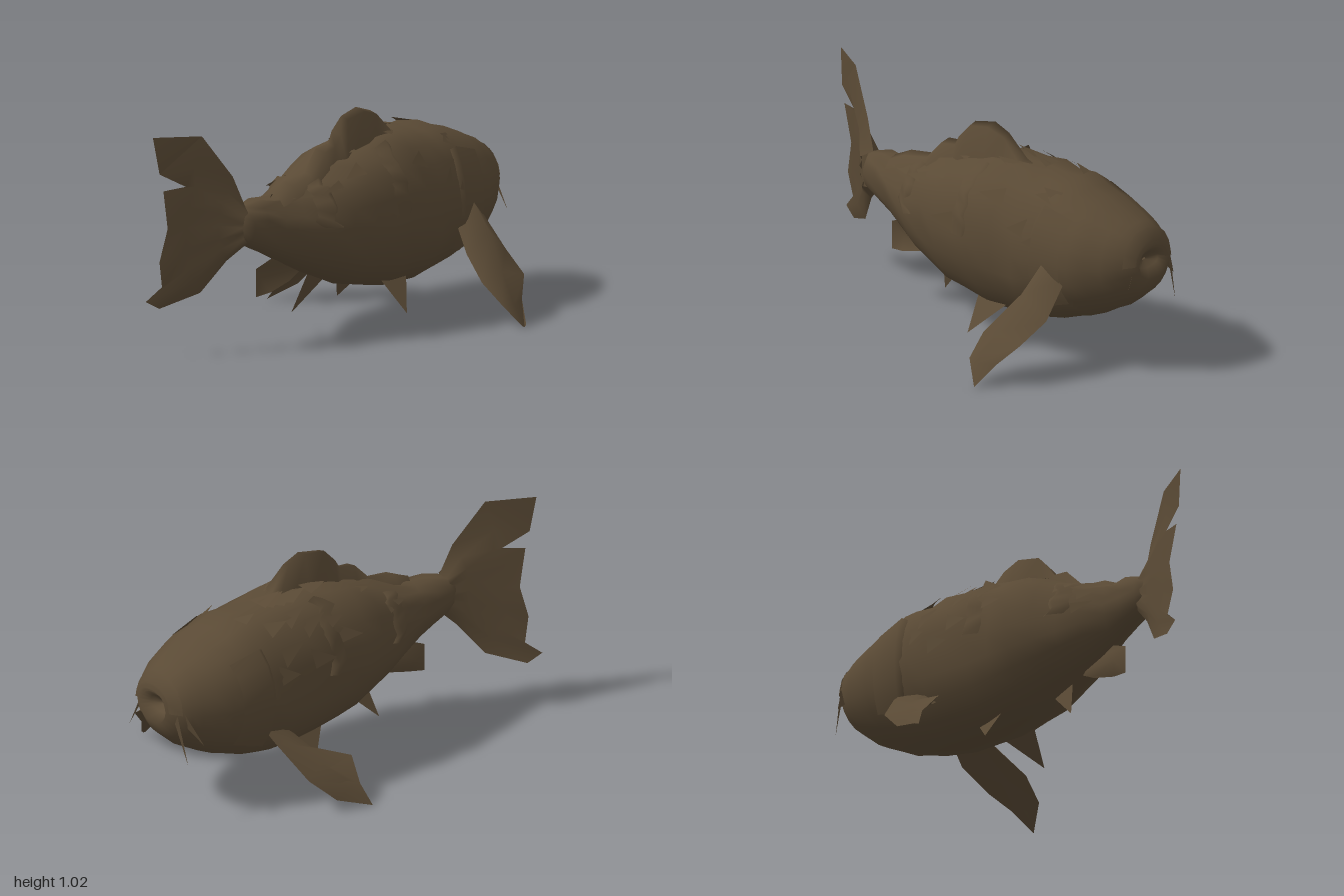
import * as THREE from 'three';

const scaleBrown = new THREE.MeshStandardMaterial({ color: 0x5a4a35, side: THREE.DoubleSide });
scaleBrown.name = 'scaleBrown';

// Seeded random numbers in the range -1 to 1
let seed = 7;
const rnd = () => {
  seed = (seed * 16807) % 2147483647;
  return (seed / 2147483647) * 2 - 1;
};

// Body sections from tail to snout, then back into the mouth: x, z, bottom, top, half width
const SECTIONS = [
  [-0.61, 0.42, 0.55, 0.65, 0.02],
  [-0.55, 0.42, 0.50, 0.68, 0.075],
  [-0.4, 0.355, 0.42, 0.70, 0.1],
  [-0.2, 0.27, 0.31, 0.75, 0.2],
  [0, 0.17, 0.215, 0.83, 0.268],
  [0.2, 0.07, 0.165, 0.87, 0.285],
  [0.4, -0.05, 0.155, 0.86, 0.29],
  [0.55, -0.13, 0.185, 0.84, 0.285],
  [0.7, -0.2, 0.24, 0.79, 0.275],
  [0.82, -0.27, 0.31, 0.73, 0.215],
  [0.89, -0.315, 0.38, 0.685, 0.16],
  [0.935, -0.335, 0.46, 0.62, 0.1],
  [0.89, -0.32, 0.5, 0.57, 0.07],
  [0.87, -0.31, 0.53, 0.54, 0.01],
];

// Point on the body: u counts sections, a is the angle around, off stands clear of the skin
function skin(u, a, off = 0) {
  const i = Math.min(Math.floor(u), SECTIONS.length - 2);
  const [x, z, lo, hi, w] = SECTIONS[i].map((v, k) => THREE.MathUtils.lerp(v, SECTIONS[i + 1][k], u - i));
  const c = Math.cos(a);
  const side = Math.sign(c) * Math.abs(c) ** 0.87 * w + c * off;
  const y = (lo + hi) / 2 + Math.sin(a) * ((hi - lo) / 2 + off);
  return [x + side * 0.45, y, z + side * 0.89];
}

// Surface through rows of points
function loft(rows, closed = false) {
  const n = rows[0].length;
  const index = [];
  for (let i = 0; i < rows.length - 1; i++) {
    for (let j = 0; j < (closed ? n : n - 1); j++) {
      const k = (j + 1) % n;
      const a = i * n + j, b = i * n + k, c = a + n, d = b + n;
      index.push(a, c, b, b, c, d);
    }
  }
  const g = new THREE.BufferGeometry();
  g.setAttribute('position', new THREE.Float32BufferAttribute(rows.flat(2), 3));
  g.setIndex(index);
  g.computeVertexNormals();
  return g;
}

export function createModel() {
  const fish = new THREE.Group();
  fish.name = 'fish';
  const add = (name, geometry) => {
    const mesh = new THREE.Mesh(geometry, scaleBrown);
    mesh.name = name;
    fish.add(mesh);
  };
  const tri = (name, ...p) => {
    const g = new THREE.BufferGeometry();
    g.setAttribute('position', new THREE.Float32BufferAttribute(p.flat(), 3));
    g.computeVertexNormals();
    add(name, g);
  };

  // Body with a lumpy back
  const SEG = 20;
  const rings = [];
  for (let u = 0; u <= 13; u += u < 10 ? 0.5 : 1) {
    const ring = [];
    for (let j = 0; j < SEG; j++) {
      const a = (j / SEG) * Math.PI * 2;
      const rough = u > 1 && u < 7.5 && Math.sin(a) > -0.3 ? 0.016 : 0.002;
      ring.push(skin(u, a, rnd() * rough));
    }
    rings.push(ring);
  }
  add('body', loft(rings, true));

  // Forked tail fin with pleats
  const tailRows = [
    [[-0.54, 0.5], [-0.55, 0.52], [-0.56, 0.54], [-0.57, 0.57], [-0.57, 0.59], [-0.57, 0.61], [-0.56, 0.64], [-0.55, 0.66], [-0.54, 0.68]],
    [[-0.62, 0.43], [-0.64, 0.46], [-0.66, 0.49], [-0.67, 0.54], [-0.67, 0.6], [-0.67, 0.66], [-0.66, 0.71], [-0.64, 0.76], [-0.6, 0.82]],
    [[-0.74, 0.29], [-0.78, 0.35], [-0.8, 0.41], [-0.82, 0.5], [-0.82, 0.6], [-0.82, 0.7], [-0.78, 0.79], [-0.79, 0.88], [-0.75, 1.02]],
    [[-0.93, 0.23], [-1, 0.27], [-0.92, 0.33], [-0.94, 0.45], [-0.9, 0.6], [-0.93, 0.78], [-0.82, 0.79], [-0.95, 0.86], [-0.98, 1.03]],
  ];
  for (const s of [-1, 1]) {
    add('tailFin', loft(tailRows.map((row, i) => row.map(([x, y], j) => {
      const edge = j === 0 || j === 8 || i === 3;
      const thick = edge ? 0 : s * [0.05, 0.02, 0.01][i];
      return [x, y, 0.425 + (x + 0.6) * 0.09 + (y - 0.65) * 0.06 + thick + (j % 2 ? 0.008 : -0.005)];
    }))));
  }

  // Dorsal fin: a ridge of uneven peaks along the spine
  const ridge = [[-0.38, 0.71], [-0.3, 0.75], [-0.18, 0.77], [-0.1, 0.86], [-0.03, 0.87], [0, 0.92], [0.05, 0.98], [0.15, 1], [0.23, 0.97], [0.32, 0.87], [0.38, 0.85]];
  add('dorsalFin', loft([-1, -0.4, 0.4, 1].map((s) => ridge.map(([x, y], j) => {
    const w = s * (0.05 + (j % 2) * 0.02);
    const low = Math.abs(s) === 1;
    const cx = x + w * 0.45;
    return [cx, low ? Math.min(y, 0.8 + x * 0.2) - 0.05 : y - (s > 0 ? 0.012 : 0), 0.21 - x * 0.5 + w * 0.89];
  }))));

  // Pectoral fins: rows run from shoulder to tip
  const pectorals = {
    leftPectoralFin: [
      [[0.62, 0.46, 0.09], [0.7, 0.53, 0.07], [0.78, 0.45, 0.03]],
      [[0.63, 0.3, 0.22], [0.74, 0.38, 0.21], [0.85, 0.29, 0.15]],
      [[0.64, 0.2, 0.37], [0.75, 0.22, 0.33], [0.88, 0.2, 0.29]],
      [[0.7, 0.11, 0.46], [0.76, 0.09, 0.44], [0.83, 0.11, 0.38]],
      [[0.79, 0.01, 0.475], [0.8, 0.005, 0.478], [0.81, 0.015, 0.475]],
    ],
    rightPectoralFin: [
      [[0.28, 0.3, -0.22], [0.36, 0.37, -0.28], [0.43, 0.38, -0.33]],
      [[0.2, 0.24, -0.29], [0.29, 0.27, -0.36], [0.38, 0.32, -0.39]],
      [[0.02, 0.2, -0.33], [0.17, 0.19, -0.41], [0.25, 0.17, -0.495]],
      [[0, 0.1, -0.42], [0.06, 0.11, -0.44], [0.12, 0.06, -0.49]],
      [[-0.05, 0.005, -0.46], [-0.04, 0.01, -0.465], [-0.03, 0.015, -0.47]],
    ],
  };
  for (const [name, rows] of Object.entries(pectorals)) {
    for (const t of [-0.015, 0.015]) {
      add(name, loft(rows.map((r, i) => r.map(([x, y, z], j) => (j === 1 && i < 4 ? [x, y + t, z + t] : [x, y, z])))));
    }
  }

  // Pelvic, vent and anal fins
  tri('leftPelvicFin', [0.2, 0.24, 0.21], [0.37, 0.22, 0.14], [0.3, 0.08, 0.31]);
  tri('rightPelvicFin', [0.08, 0.23, 0.02], [0.24, 0.2, -0.04], [0.12, 0.095, -0.06]);
  tri('ventFin', [-0.15, 0.31, 0.25], [-0.06, 0.25, 0.2], [-0.22, 0.11, 0.21]);
  add('analFin', loft([
    [[-0.34, 0.42, 0.34], [-0.27, 0.38, 0.31], [-0.18, 0.33, 0.26]],
    [[-0.46, 0.37, 0.37], [-0.42, 0.31, 0.33], [-0.27, 0.28, 0.3]],
    [[-0.46, 0.24, 0.37], [-0.38, 0.25, 0.35], [-0.29, 0.28, 0.3]],
  ]));

  // Gill covers and upper lip
  for (const s of [0, 1]) {
    const rows = [];
    for (let i = 0; i <= 6; i++) {
      const t = -0.7 + i * 0.25;
      const a = s ? Math.PI - t : t;
      const back = 7.3 - Math.cos(t) * 0.5;
      rows.push([skin(back - 0.15, a, 0), skin(back, a, 0.02), skin(back + 0.9, a, 0.003)]);
    }
    add(s ? 'rightGillCover' : 'leftGillCover', loft(rows));
  }
  const lip = [];
  for (let i = 0; i <= 8; i++) {
    const a = (i / 8) * Math.PI;
    lip.push([skin(10, a, 0.003), skin(10.85, a, 0.015), skin(11.3, a, -0.005)]);
  }
  add('upperLip', loft(lip));

  // Barbels
  tri('leftBarbel', [0.95, 0.59, -0.25], [0.96, 0.5, -0.22], [1, 0.38, -0.17]);
  tri('rightBarbel', [0.82, 0.56, -0.45], [0.8, 0.47, -0.44], [0.73, 0.4, -0.51]);
  tri('lowerBarbel', [0.84, 0.53, -0.45], [0.85, 0.49, -0.44], [0.8, 0.3, -0.49]);

  // Torn ruffles of skin down both flanks
  for (const u of [3, 4.9]) {
    for (const s of [0, 1]) {
      const rows = [];
      for (let i = 0; i <= 8; i++) {
        const a = s ? Math.PI - 0.05 - i * 0.14 : 0.05 + i * 0.14;
        const v = u + rnd() * 0.12;
        rows.push([skin(v - 0.3, a, 0), skin(v, a, 0.018 + rnd() * 0.014), skin(v + 0.12, a, 0)]);
      }
      add('skinRuffle', loft(rows));
    }
  }

  // Loose ragged scales on the back and flanks
  for (let i = 0; i < 30; i++) {
    const u = 4.6 + rnd() * 2.4;
    const a = Math.PI / 2 + rnd() * 1.5;
    tri('looseScale', skin(u + 0.3, a - 0.14, 0.004), skin(u + 0.25, a + 0.14, 0.004), skin(u - 0.25, a + rnd() * 0.1, 0.025));
  }
  return fish;
}
